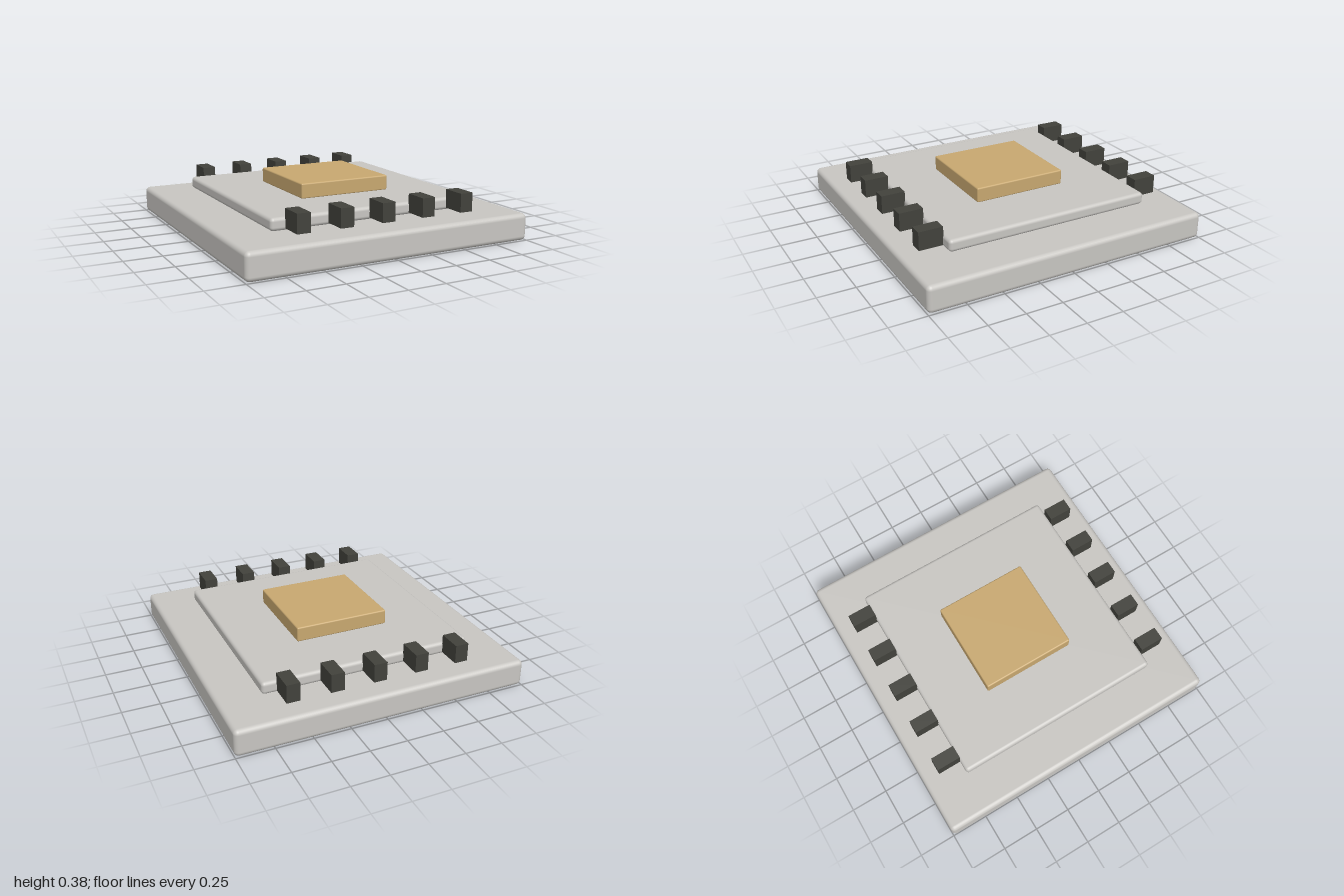
import * as THREE from 'three';
import { RoundedBoxGeometry } from 'three/addons/geometries/RoundedBoxGeometry.js';

export function createModel() {
  const model = new THREE.Group();
  model.name = 'chipModule';

  const material = (name, color) => {
    const m = new THREE.MeshStandardMaterial({ color });
    m.name = name;
    return m;
  };
  const lightGrey = material('lightGrey', 0xc8c6c2);
  const tan = material('tan', 0xc8a870);
  const charcoal = material('charcoal', 0x42423c);

  // Square slab with softened edges, resting at a given height
  const addSlab = (name, size, bottom, top, radius, mat) => {
    const height = top - bottom;
    const slab = new THREE.Mesh(new RoundedBoxGeometry(size, height, size, 3, radius), mat);
    slab.name = name;
    slab.position.y = bottom + height / 2;
    model.add(slab);
  };
  addSlab('base', 2, 0, 0.183, 0.032, lightGrey);
  addSlab('upperPlate', 1.45, 0.2, 0.283, 0.024, lightGrey);
  addSlab('centreBlock', 0.65, 0.28, 0.383, 0.01, tan);

  // Five pins along the front and back edges of the upper plate
  const pinGeometry = new THREE.BoxGeometry(0.09, 0.125, 0.165);
  for (const [side, z] of [['front', 0.803], ['back', -0.803]]) {
    const row = new THREE.Group();
    row.name = side + 'Pins';
    for (let i = -2; i <= 2; i++) {
      const pin = new THREE.Mesh(pinGeometry, charcoal);
      pin.name = side + 'Pin' + (i + 3);
      pin.position.set(i * 0.292, 0.276, z);
      row.add(pin);
    }
    model.add(row);
  }
  return model;
}
